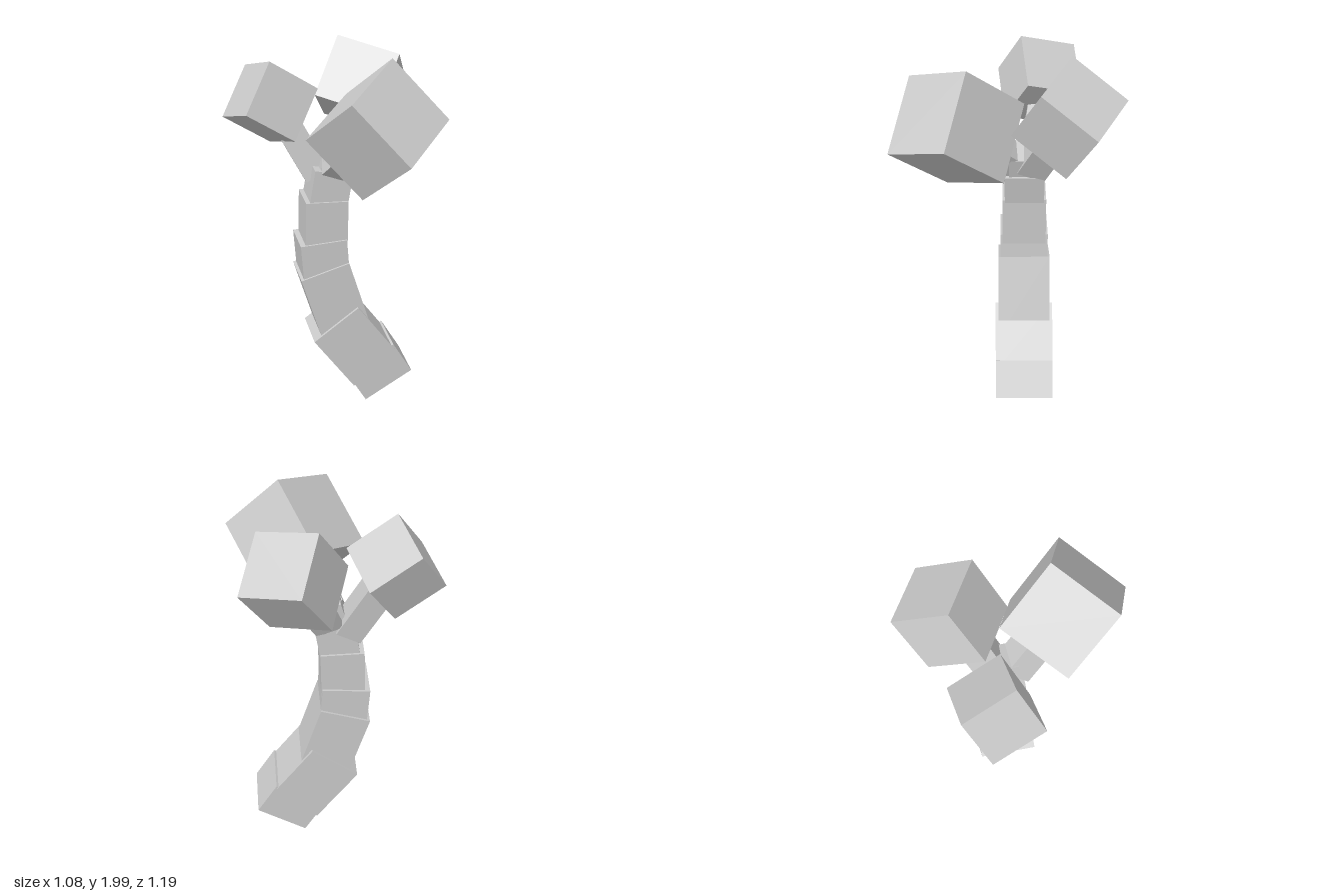
import * as THREE from 'three';

const material = new THREE.MeshStandardMaterial({ color: 0xcccccc, flatShading: true });
const UP = new THREE.Vector3(0, 1, 0);

// Square beam running from one point to another
function beam(name, from, to, width) {
  const a = new THREE.Vector3(...from);
  const b = new THREE.Vector3(...to);
  const axis = b.clone().sub(a);
  const mesh = new THREE.Mesh(new THREE.BoxGeometry(width, axis.length(), width), material);
  mesh.name = name;
  mesh.position.copy(a).add(b).multiplyScalar(0.5);
  mesh.quaternion.setFromUnitVectors(UP, axis.normalize());
  return mesh;
}

// Tumbled cube given by its centre, side and the directions of two edges
function cube(name, center, side, edgeA, edgeB) {
  const x = new THREE.Vector3(...edgeA).normalize();
  const z = x.clone().cross(new THREE.Vector3(...edgeB)).normalize();
  const y = z.clone().cross(x);
  const mesh = new THREE.Mesh(new THREE.BoxGeometry(side, side, side), material);
  mesh.name = name;
  mesh.position.set(...center);
  mesh.quaternion.setFromRotationMatrix(new THREE.Matrix4().makeBasis(x, y, z));
  return mesh;
}

export function createModel() {
  const tree = new THREE.Group();
  tree.name = 'tree';

  // Curved trunk of tapering blocks: bottom x, y, top x, y, width
  const trunk = new THREE.Group();
  trunk.name = 'trunk';
  const segments = [
    [0.31, 0.085, 0.205, 0.255, 0.304],
    [0.235, 0.192, 0.013, 0.485, 0.306],
    [0.092, 0.368, -0.045, 0.797, 0.274],
    [-0.034, 0.76, -0.05, 0.96, 0.251],
    [-0.034, 0.92, -0.029, 1.188, 0.228],
    [-0.024, 1.14, 0.01, 1.347, 0.205],
    [0.01, 1.3, 0.055, 1.46, 0.16],
  ];
  segments.forEach(([x0, y0, x1, y1, width], i) => {
    trunk.add(beam(`trunkSegment${i + 1}`, [x0, y0, -0.094], [x1, y1, -0.094], width));
  });
  tree.add(trunk);

  // Short branches reaching into the foliage
  tree.add(
    beam('frontBranch', [0.02, 1.37, -0.04], [0.15, 1.6, 0.19], 0.15),
    beam('rightBranch', [-0.06, 1.3, -0.14], [-0.25, 1.65, -0.19], 0.14),
    beam('backBranch', [0.04, 1.36, -0.13], [0.2, 1.69, -0.28], 0.15),
  );

  // Foliage cubes
  tree.add(
    cube('frontFoliage', [0.182, 1.65, 0.25], 0.42, [-0.265, -0.14, 0.29], [0.275, -0.3, 0.1]),
    cube('rightFoliage', [-0.297, 1.694, -0.175], 0.305, [-0.09, -0.085, -0.28], [-0.14, -0.24, 0.12]),
    cube('backFoliage', [0.217, 1.725, -0.31], 0.348, [0.1, -0.19, -0.272], [0.3, -0.08, 0.161]),
  );
  return tree;
}
